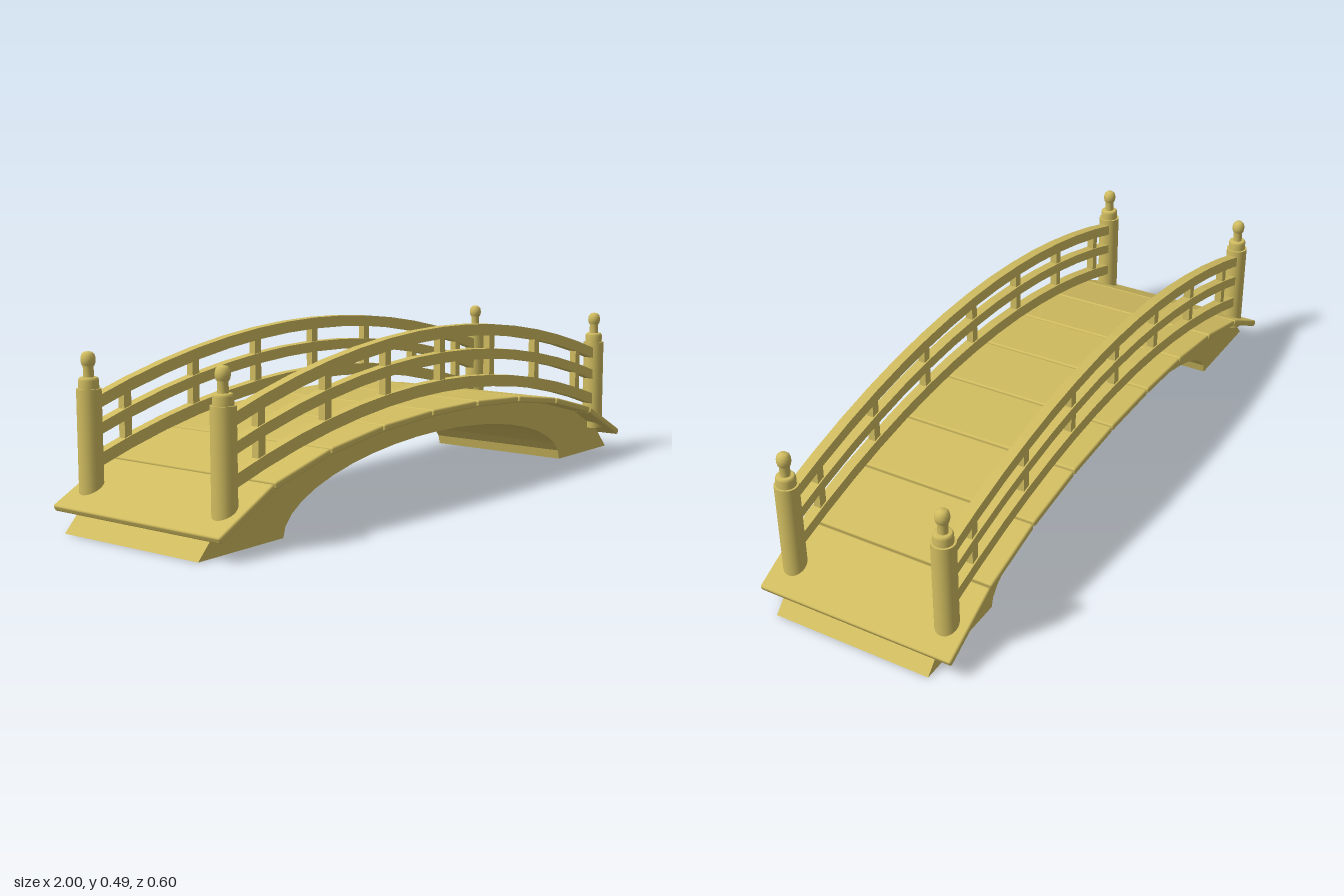
import * as THREE from 'three';
import { RoundedBoxGeometry } from 'three/addons/geometries/RoundedBoxGeometry.js';

const material = new THREE.MeshStandardMaterial({ color: 0xd0bc60 });

// Deck walking line: joints between planks, from one end to the other
const half = [[0.114, 0.265], [0.342, 0.252], [0.567, 0.221], [0.788, 0.165], [0.992, 0.062]];
const joints = [...half.map(([x, y]) => [-x, y]).reverse(), ...half];
const PLANK = 0.02;
const SIDE = 0.24; // z of the railings and of the body faces

function add(parent, name, geometry, x = 0, y = 0, z = 0) {
  const mesh = new THREE.Mesh(geometry, material);
  mesh.name = name;
  mesh.position.set(x, y, z);
  parent.add(mesh);
  return mesh;
}

// Extrudes a side outline across z, centred
function slab(points, depth) {
  const shape = new THREE.Shape(points.map(([x, y]) => new THREE.Vector2(x, y)));
  return new THREE.ExtrudeGeometry(shape, { depth, bevelEnabled: false }).translate(0, 0, -depth / 2);
}

// Solid body with an elliptical opening underneath
function archBody() {
  const points = [];
  const n = 20;
  for (let i = 0; i <= n; i++) {
    const a = Math.PI * (1 - i / n);
    points.push([0.69 * Math.cos(a), 0.186 * Math.sin(a)]);
  }
  const top = half.slice(0, 4).map(([x, y]) => [x, y - PLANK + 0.001]);
  points.push([1, 0], [0.935, 0.068]);
  points.push(...[...top].reverse(), ...top.map(([x, y]) => [-x, y]));
  points.push([-0.935, 0.068], [-1, 0]);
  return slab(points, SIDE * 2);
}

// Drop of the railing away from the middle
const drop = (x) => 0.18 * x * x;

function railGeometry(bottom, top) {
  const upper = [], lower = [];
  for (let i = 0; i <= 14; i++) {
    const x = -0.9 + (1.8 * i) / 14;
    lower.push([x, bottom - drop(x)]);
    upper.unshift([x, top - drop(x)]);
  }
  return slab([...lower, ...upper], 0.03);
}

// Turned post with a shouldered cap and a rounded finial
function postGeometry() {
  const profile = [
    [0, 0.08], [0.033, 0.08], [0.033, 0.08], [0.033, 0.37], [0.033, 0.37],
    [0.027, 0.37], [0.027, 0.37], [0.027, 0.392], [0.025, 0.398], [0.022, 0.4],
    [0.014, 0.4], [0.014, 0.4], [0.014, 0.428], [0.0175, 0.433], [0.0195, 0.442],
    [0.0195, 0.45], [0.017, 0.46], [0.011, 0.466], [0, 0.468],
  ].map(([r, y]) => new THREE.Vector2(r, y));
  // Lathe each run between doubled points separately so the shoulders stay sharp
  const runs = [[0, 1], [2, 3], [4, 5], [6, 10], [11, 18]];
  return runs.map(([a, b]) => new THREE.LatheGeometry(profile.slice(a, b + 1), 24));
}

export function createModel() {
  const bridge = new THREE.Group();
  bridge.name = 'archedBridge';
  add(bridge, 'archBody', archBody());

  // Planks, each tilted along the walking line
  const deck = new THREE.Group();
  deck.name = 'deck';
  bridge.add(deck);
  for (let i = 0; i < joints.length - 1; i++) {
    const [x0, y0] = joints[i], [x1, y1] = joints[i + 1];
    const length = Math.hypot(x1 - x0, y1 - y0);
    const angle = Math.atan2(y1 - y0, x1 - x0);
    const plank = add(deck, 'plank', new RoundedBoxGeometry(length - 0.006, PLANK, 0.6, 2, 0.006),
      (x0 + x1) / 2 + Math.sin(angle) * PLANK / 2,
      (y0 + y1) / 2 - Math.cos(angle) * PLANK / 2 + 0.002);
    plank.rotation.z = angle;
  }

  // Railings on both sides
  const rails = [['lowerRail', 0.302, 0.337], ['middleRail', 0.386, 0.417], ['topRail', 0.457, 0.491]];
  const railGeometries = rails.map(([, bottom, top]) => railGeometry(bottom, top));
  const postParts = postGeometry();
  for (const side of [1, -1]) {
    const railing = new THREE.Group();
    railing.name = side > 0 ? 'frontRailing' : 'backRailing';
    railing.position.z = side * SIDE;
    bridge.add(railing);
    rails.forEach(([name], i) => add(railing, name, railGeometries[i]));

    // Short uprights between the rails
    for (let i = -3; i <= 3; i++) {
      const x = i * 0.26;
      add(railing, 'baluster', new THREE.BoxGeometry(0.026, 0.16, 0.022), x, 0.396 - drop(x), 0);
    }

    // End posts
    for (const x of [-0.905, 0.905]) {
      const post = new THREE.Group();
      post.name = 'post';
      post.position.x = x;
      railing.add(post);
      for (const part of postParts) add(post, 'postSection', part);
    }
  }
  return bridge;
}
